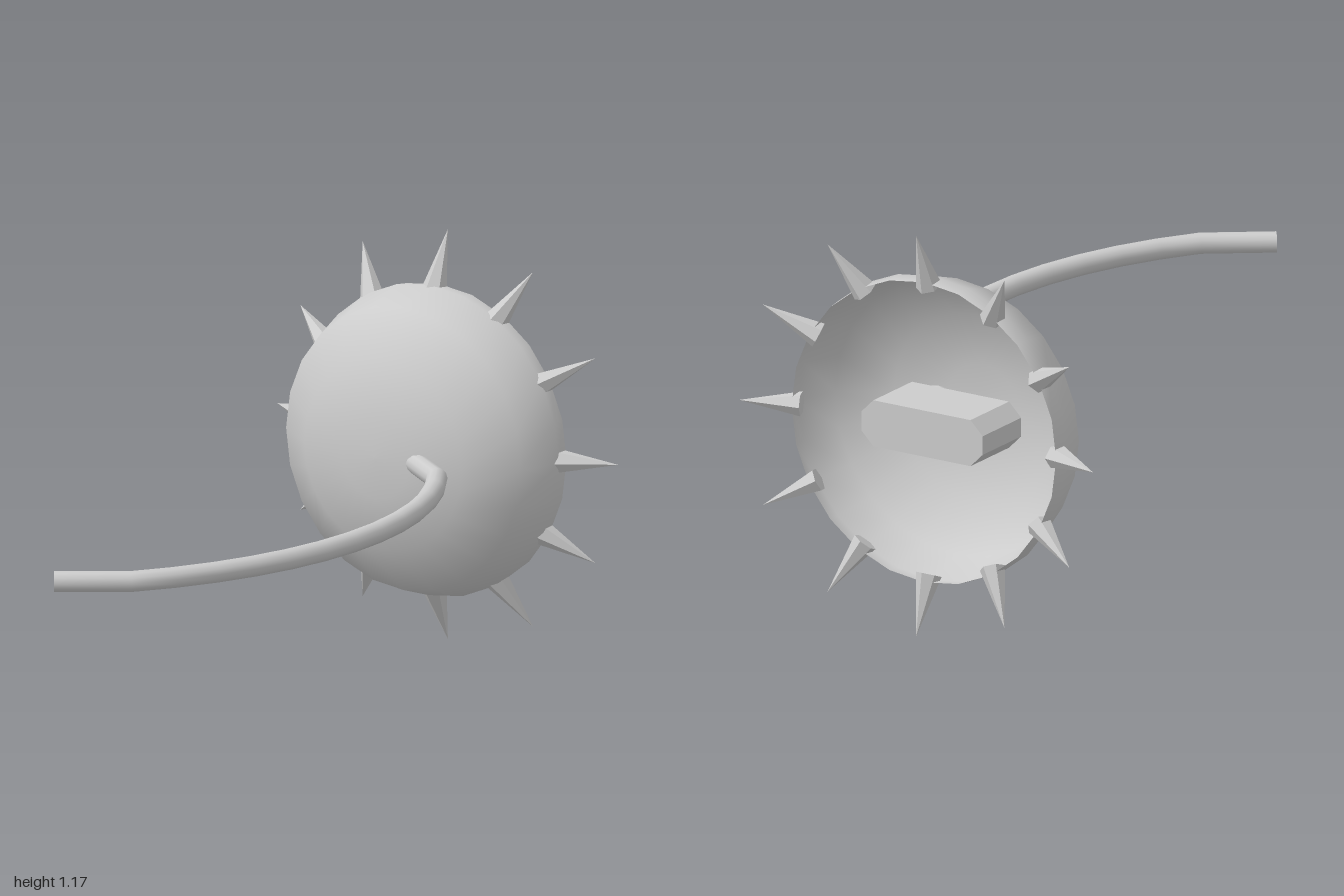
import * as THREE from 'three';

const CENTER_Y = 0.585;

// Polyline curve whose samples land exactly on the given points
class Polyline extends THREE.Curve {
  constructor(points) {
    super();
    this.points = points;
  }
  getPoint(t, target = new THREE.Vector3()) {
    const n = this.points.length - 1;
    const i = Math.min(Math.floor(t * n + 1e-9), n - 1);
    return target.lerpVectors(this.points[i], this.points[i + 1], t * n - i);
  }
  getPointAt(u, target) { return this.getPoint(u, target); }
  getTangentAt(u, target) { return this.getTangent(u, target); }
}

export function createModel() {
  const group = new THREE.Group();
  const grey = new THREE.MeshStandardMaterial({ color: 0xcccccc });
  const greyShell = new THREE.MeshStandardMaterial({ color: 0xcccccc, side: THREE.DoubleSide });
  const greyFlat = new THREE.MeshStandardMaterial({ color: 0xcccccc, flatShading: true });

  const add = (name, geometry, material, parent = group) => {
    const mesh = new THREE.Mesh(geometry, material);
    mesh.name = name;
    parent.add(mesh);
    return mesh;
  };

  // Open domed shell, bulging forward
  const profile = [[0.436, -0.96], [0.442, -0.915], [0.402, -0.793], [0.27, -0.697], [0.115, -0.661], [0, -0.659]]
    .map(([r, z]) => new THREE.Vector2(r, z));
  const dome = new THREE.LatheGeometry(profile, 24);
  dome.rotateX(Math.PI / 2);
  add('dome', dome, greyShell).position.y = CENTER_Y;

  // Bar handle with cut corners inside the dome
  const w = 0.2, h = 0.067, c = 0.04;
  const outline = new THREE.Shape([
    [w, -h + c], [w, h - c], [w - c, h], [-w + c, h],
    [-w, h - c], [-w, -h + c], [-w + c, -h], [w - c, -h],
  ].map(([x, y]) => new THREE.Vector2(x, y)));
  const handle = new THREE.ExtrudeGeometry(outline, { depth: 0.195, bevelEnabled: false });
  add('handle', handle, greyFlat).position.set(0, CENTER_Y, -0.97);

  // Six-sided spikes around the rim, leaning backward
  const spikes = new THREE.Group();
  spikes.name = 'spikes';
  spikes.position.y = CENTER_Y;
  group.add(spikes);
  const spike = new THREE.ConeGeometry(1, 0.176, 6);
  spike.scale(0.035, 1, 0.039);
  spike.translate(0, 0.088, 0);
  spike.rotateX(-Math.atan2(0.065, 0.163));
  spike.translate(0, 0.42, -0.935);
  for (let i = 0; i < 12; i++) {
    add('spike', spike, greyFlat, spikes).rotation.z = i * Math.PI / 6;
  }

  // Curved rod: a faceted arc with a straight piece at each end
  const R = 1.22, midZ = 0.135, span = Math.asin(0.715 / R), steps = 12;
  const path = [new THREE.Vector3(0.115, 0, -0.69)];
  for (let i = 0; i <= steps; i++) {
    const a = span * (2 * i / steps - 1);
    path.push(new THREE.Vector3(0.502 - R + R * Math.cos(a), 0, midZ + R * Math.sin(a)));
  }
  path.push(new THREE.Vector3(0.1, 0, 0.975));
  const rod = new THREE.TubeGeometry(new Polyline(path), path.length - 1, 0.03, 12);
  add('rod', rod, grey).position.y = CENTER_Y;

  // Flat caps closing the rod ends
  for (const [end, inner] of [[path[0], path[1]], [path.at(-1), path.at(-2)]]) {
    const cap = add('rodCap', new THREE.CircleGeometry(0.03, 12), grey);
    const dir = end.clone().sub(inner).normalize();
    cap.quaternion.setFromUnitVectors(new THREE.Vector3(0, 0, 1), dir);
    cap.position.copy(end).setY(CENTER_Y);
  }

  return group;
}
